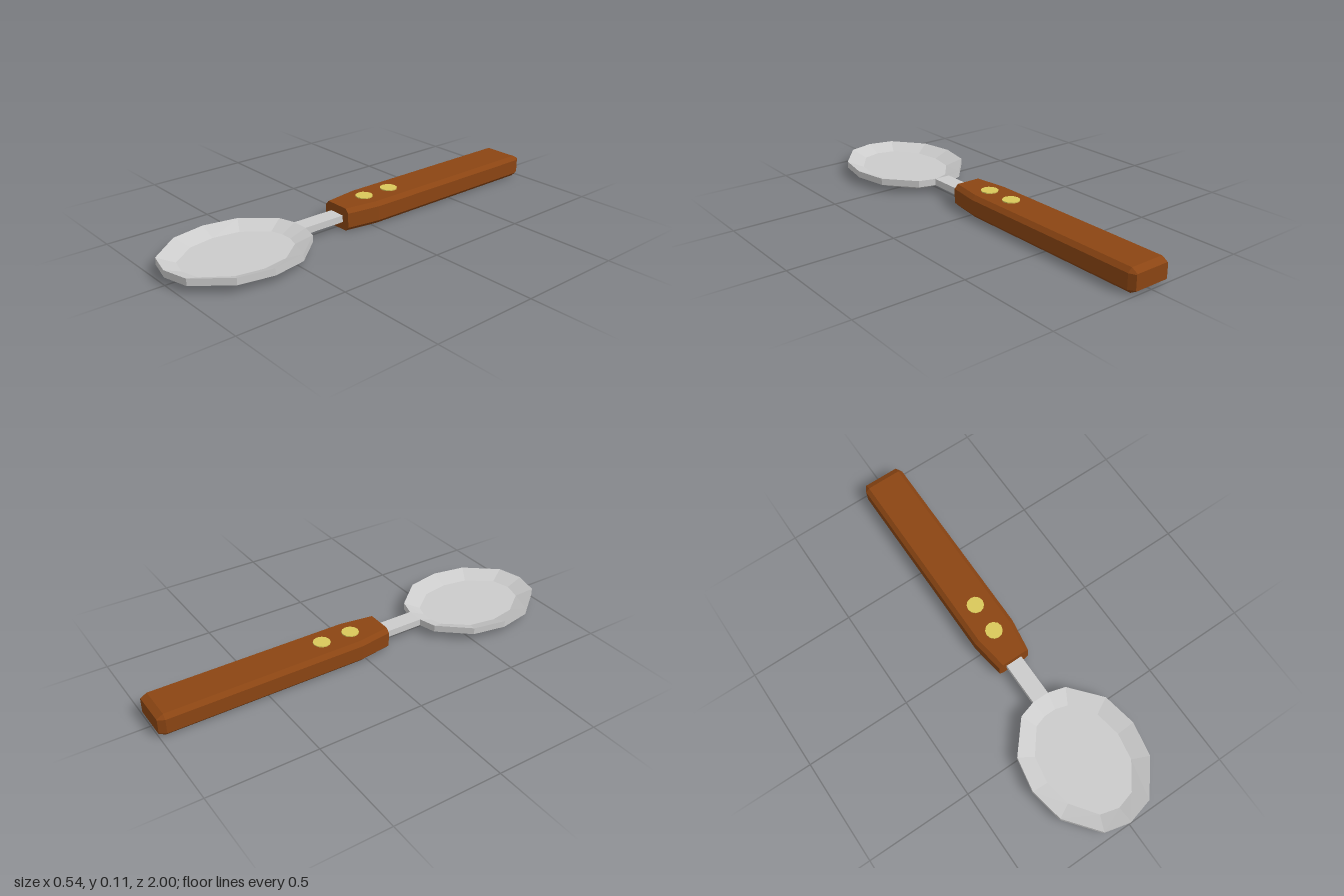
import * as THREE from 'three';

const mat = (color, metal) => new THREE.MeshStandardMaterial({ color, flatShading: true });
const steel = mat(0xcccccc), wood = mat(0x8b4513), brass = mat(0xd9c85a);

// Skins a list of equal-length closed rings and caps both ends, flat shaded.
function loft(rings) {
  const pos = [];
  const tri = (...pts) => pts.forEach((p) => pos.push(...p));
  const n = rings[0].length;
  for (let r = 0; r < rings.length - 1; r++) {
    const a = rings[r], b = rings[r + 1];
    for (let i = 0; i < n; i++) {
      const j = (i + 1) % n;
      tri(a[i], a[j], b[j]);
      tri(a[i], b[j], b[i]);
    }
  }
  const first = rings[0], last = rings[rings.length - 1];
  for (let i = 1; i < n - 1; i++) {
    tri(first[0], first[i + 1], first[i]);
    tri(last[0], last[i], last[i + 1]);
  }
  const g = new THREE.BufferGeometry();
  g.setAttribute('position', new THREE.Float32BufferAttribute(pos, 3));
  g.computeVertexNormals();
  return g;
}

// Chamfered rectangular cross-section of the handle at depth z
function section(z, w, y0, y1, c) {
  return [
    [w, y0 + c], [w, y1 - c], [w - c, y1], [c - w, y1],
    [-w, y1 - c], [-w, y0 + c], [c - w, y0], [w - c, y0],
  ].map(([x, y]) => [x, y, z]);
}

export function createModel() {
  const model = new THREE.Group();
  const add = (name, geometry, material) => {
    const mesh = new THREE.Mesh(geometry, material);
    mesh.name = name;
    model.add(mesh);
    return mesh;
  };

  // Bowl: oval sheet, sloping from the rim to a flat floor
  const cz = 0.66;
  const right = [[0.27, cz], [0.24, 0.5], [0.12, 0.36], [0.04, 0.337]];
  const front = [[-0.24, 0.82], [-0.12, 0.97], [0, 1], [0.12, 0.97], [0.24, 0.82]];
  const left = right.map(([x, z]) => [-x, z]).reverse();
  const outline = [...right, ...left, ...front];
  const ring = (y, sx, sz) => outline.map(([x, z]) => [x * sx, y, cz + (z - cz) * sz]);
  add('bowl', loft([
    ring(0.002, 0.71, 0.77), ring(0.035, 1, 1),
    ring(0.067, 1, 1), ring(0.035, 0.71, 0.77),
  ]), steel);

  // Neck: flat bar running from inside the handle to the rim
  add('neck', new THREE.BoxGeometry(0.08, 0.032, 0.237), steel).position.set(0, 0.051, 0.2185);

  // Handle: chamfered bar, tapered towards the neck and bevelled at the back
  add('handle', loft([
    section(-1, 0.086, 0.017, 0.089, 0.003),
    section(-0.97, 0.102, 0, 0.106, 0.019),
    section(-0.03, 0.102, 0, 0.106, 0.019),
    section(0.13, 0.078, 0, 0.106, 0.019),
  ]), wood);

  // Rivets
  for (const z of [-0.03, -0.18]) {
    add('rivet', new THREE.CylinderGeometry(0.04, 0.04, 0.02, 12), brass).position.set(0, 0.101, z);
  }
  return model;
}
